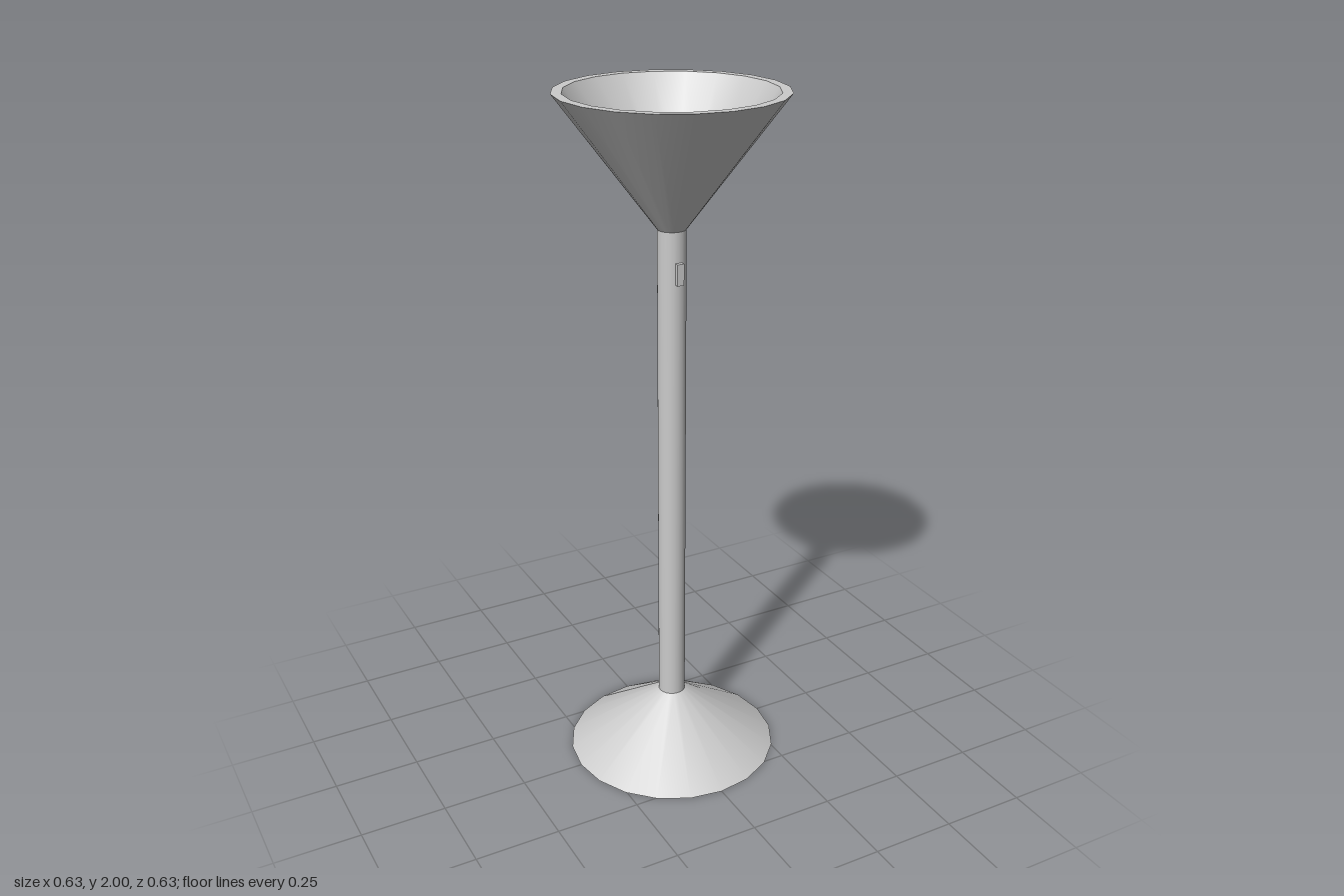
import * as THREE from 'three';

const SIDES = 20;

export function createModel() {
  const model = new THREE.Group();
  const material = new THREE.MeshStandardMaterial({ color: 0xcccccc });

  const add = (name, geometry, y = 0, z = 0) => {
    const mesh = new THREE.Mesh(geometry, material);
    mesh.name = name;
    mesh.position.set(0, y, z);
    model.add(mesh);
    return mesh;
  };

  // Surface of revolution between two rings, each given as [radius, height]
  const ring = (name, a, b) =>
    add(name, new THREE.LatheGeometry([new THREE.Vector2(...a), new THREE.Vector2(...b)], SIDES));

  // Conical foot and round pole
  add('base', new THREE.CylinderGeometry(0.04, 0.313, 0.185, SIDES), 0.0925);
  add('pole', new THREE.CylinderGeometry(0.04, 0.04, 1.46, SIDES), 0.91);

  // Funnel shade: outside, flat rim and inside
  ring('shadeOuter', [0.04, 1.635], [0.313, 2]);
  ring('shadeRim', [0.313, 2], [0.285, 2]);
  ring('shadeInner', [0.285, 2], [0.148, 1.785]);

  // Domed bulb seated in the shade
  add('bulb', new THREE.SphereGeometry(0.15, SIDES, 10, 0, Math.PI * 2, 0, Math.PI / 2), 1.785);

  // Small switch on the front of the pole
  add('switch', new THREE.BoxGeometry(0.02, 0.06, 0.022), 1.52, 0.041);

  return model;
}
